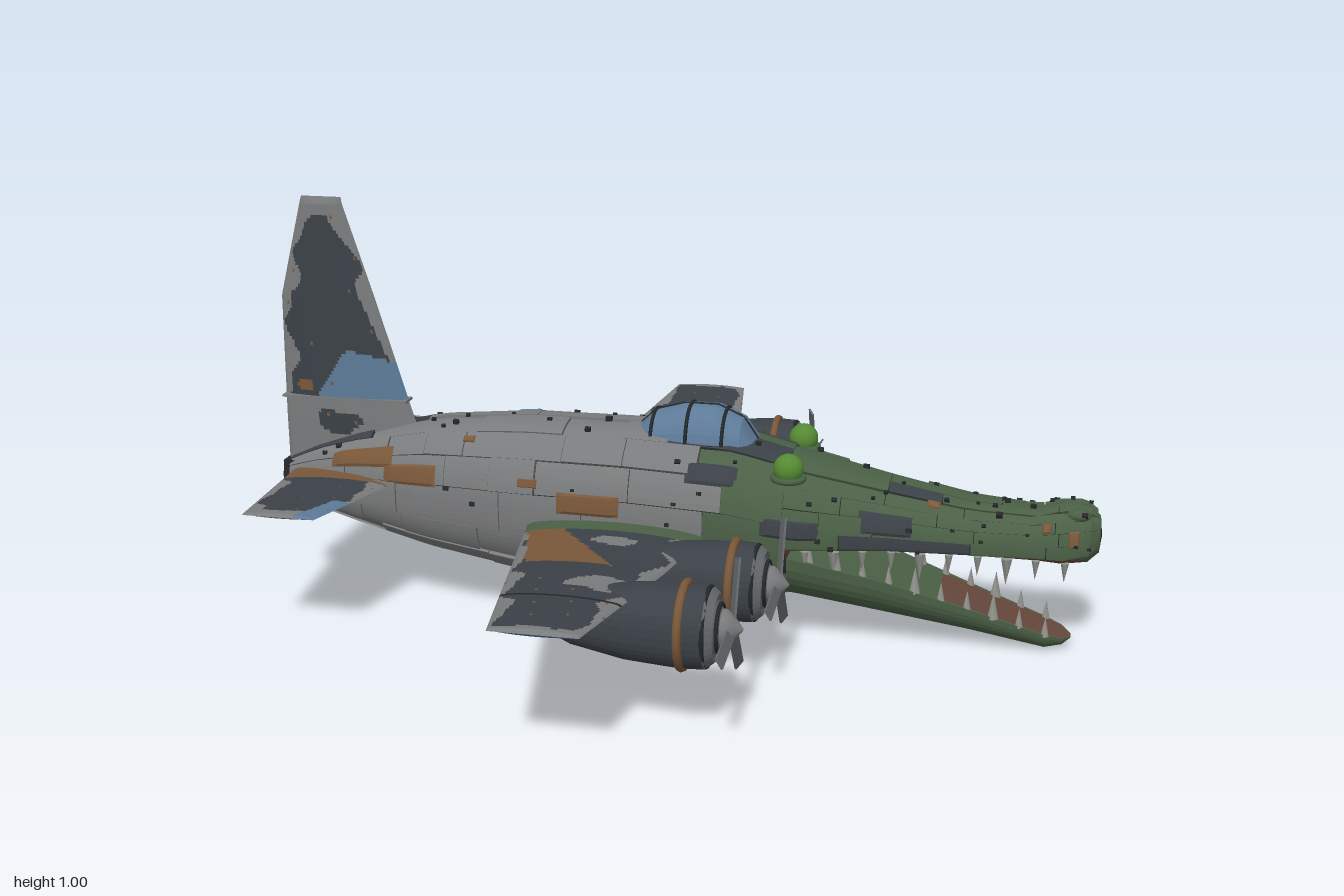
import * as THREE from 'three';
import { mergeGeometries } from 'three/addons/utils/BufferGeometryUtils.js';

const palette = { grey: 0x7a7b7c, slate: 0x3b4147, rust: 0x7a583a, green: 0x4b6046, brightGreen: 0x558a33,
  blue: 0x5d7a98, seam: 0x25282a, mouth: 0x67473c, tooth: 0x94948e, steel: 0x66696c };
const names = Object.keys(palette);
const mats = names.map((name) => {
  const m = new THREE.MeshStandardMaterial({ color: palette[name], side: THREE.DoubleSide });
  m.name = name;
  return m;
});
const mat = (n) => mats[names.indexOf(n)];

let seed = 7;
const rnd = () => (seed = (seed * 16807) % 2147483647) / 2147483647;
const V = (x, y, z) => new THREE.Vector3(x, y, z);
const add = (parent, name, geo, colour) => {
  const m = new THREE.Mesh(geo, mat(colour));
  m.name = name;
  parent.add(m);
  return m;
};

// Grid surface with flat facets; colour(u, v) picks a material per cell.
function gridGeo(point, nu, nv, flip, colour) {
  const cells = names.map(() => []);
  for (let i = 0; i < nu; i++) for (let j = 0; j < nv; j++) {
    const q = [[i, j], [i + 1, j], [i + 1, j + 1], [i, j + 1]].map(([a, b]) => point(a / nu, b / nv));
    const order = flip ? [0, 2, 1, 0, 3, 2] : [0, 1, 2, 0, 2, 3];
    const list = cells[colour ? names.indexOf(colour((i + 0.5) / nu, (j + 0.5) / nv)) : 0];
    for (const k of order) list.push(q[k].x, q[k].y, q[k].z);
  }
  const g = new THREE.BufferGeometry();
  g.setAttribute('position', new THREE.Float32BufferAttribute(cells.flat(), 3));
  let start = 0;
  if (colour) cells.forEach((c, k) => {
    if (c.length) g.addGroup(start, c.length / 3, k);
    start += c.length / 3;
  });
  g.computeVertexNormals();
  return g;
}

// Hull stations: x, centre y, height above, height below, half width
const body = [[-1, .29, .03, .04, .025], [-.9, .29, .08, .07, .055], [-.8, .29, .115, .095, .085], [-.6, .29, .165, .14, .135],
  [-.35, .29, .185, .18, .172], [-.1, .29, .185, .185, .18], [.15, .28, .185, .175, .183], [.29, .26, .17, .155, .175], [.295, .26, 0, 0, 0]];
const snout = [[.2, .27, .17, .08, .18], [.3, .26, .165, .03, .175], [.5, .26, .12, .025, .135], [.7, .255, .085, .025, .105],
  [.85, .25, .08, .03, .078], [.91, .25, .1, .035, .077], [.965, .265, .08, .045, .065], [.99, .28, .045, .04, .035], [.995, .28, 0, 0, 0]];
const chin = [[.24, .235, 0, .13, .172], [.3, .225, 0, .125, .165], [.5, .17, 0, .105, .12], [.7, .105, 0, .072, .085],
  [.88, .045, 0, .045, .06], [.92, .033, 0, .024, .042], [.94, .027, 0, .004, .01]];
const glass = [[-.1, .42, 0, .02, 0], [-.095, .42, .055, .02, .06], [-.05, .42, .097, .02, .082], [.02, .42, .117, .02, .088],
  [.1, .42, .117, .02, .088], [.16, .42, .09, .02, .08], [.2, .42, .03, .02, .062], [.203, .42, 0, .02, 0]];
const pod = [[-.44, .001], [-.42, .025], [-.34, .058], [-.22, .08], [-.1, .088], [-.05, .086], [-.03, .07], [-.035, .05]]
  .map(([x, r]) => [x, 0, r, r, r]);

function section(st, x) {
  let i = 0;
  while (i < st.length - 2 && x > st[i + 1][0]) i++;
  const t = THREE.MathUtils.clamp((x - st[i][0]) / (st[i + 1][0] - st[i][0]), 0, 1);
  return st[i].map((v, k) => v + (st[i + 1][k] - v) * t);
}
function ringPoint([x, yc, up, down, w], a, off = 0) {
  const s = Math.sin(a), c = Math.cos(a);
  const pw = (v) => Math.sign(v) * Math.abs(v) ** 0.87;
  return V(x, yc + (s > 0 ? up : down) * pw(s) + off * s, w * pw(c) + off * c);
}
const hullPoint = (st, x, a, off) => ringPoint(section(st, x), a, off);
function hull(parent, name, st, colour, k = 3) {
  const n = st.length - 1;
  const ring = (u) => {
    const i = Math.min(n - 1, Math.floor(u * n + 1e-6));
    return st[i].map((v, j) => v + (st[i + 1][j] - v) * (u * n - i));
  };
  const g = gridGeo((u, v) => ringPoint(ring(u), v * 2 * Math.PI), n * k, 36, false, (u, v) => colour(ring(u)[0], v * 2 * Math.PI));
  add(parent, name, g, 'seam').material = mats;
}
// Raised plates laid in strips along a hull, gaps left as seams
function plating(parent, name, st, x0, x1, a0, a1, strips, colour) {
  const lists = {}, da = (a1 - a0) / strips, n = 8;
  for (let s = 0; s < strips; s++) for (let x = x0; x < x1 - 0.01;) {
    let e = Math.min(x1, x + 0.1 + rnd() * 0.2);
    if (x1 - e < 0.06) e = x1;
    const xs = x, h = 0.003 + rnd() * 0.009, aa = a0 + s * da;
    const geo = gridGeo((u, v) => {
      const f = (t) => THREE.MathUtils.clamp((t * n - 1) / (n - 2), 0, 1);
      const rim = u < .01 || u > .99 || v < .01 || v > .99;
      return hullPoint(st, xs + .001 + (e - xs - .002) * f(u), aa + .006 + (da - .012) * f(v), rim ? -.002 : h);
    }, n, n, false);
    (lists[colour((x + e) / 2, aa + da / 2)] ??= []).push(geo);
    x = e;
  }
  for (const c in lists) add(parent, `${name} ${c}`, mergeGeometries(lists[c]), c);
}
// Thin skin patch: x range, angle range
function patch(parent, st, [x0, x1, a0, a1, colour]) {
  const g = gridGeo((u, v) => {
    const rim = u < .01 || u > .99 || v < .01 || v > .99;
    return hullPoint(st, x0 + (x1 - x0) * u, a0 + (a1 - a0) * v, rim ? .0095 : .0135);
  }, 8, 8, false);
  add(parent, 'skinPatch', g, colour);
}

// Lens-section aerofoil; sections: span, trailing x, leading x, offset, half thickness
function foil(parent, name, secs, place, flip, colour) {
  const s0 = secs[0][0], s1 = secs[secs.length - 1][0];
  const at = (u, v) => {
    const s = s0 + (s1 - s0) * u, q = section(secs, s);
    return { s, x: q[1] + (q[2] - q[1]) * v, y: q[3], t: q[4] * Math.sin(Math.PI * v) ** 0.5, d: Math.min(v, 1 - v) * (q[2] - q[1]) };
  };
  for (const k of [1, -1]) {
    const g = gridGeo((u, v) => { const p = at(u, v); return place(p.x, p.s, p.y, p.t * k); }, 84, 44, flip !== (k < 0), (u, v) => {
      const p = at(u, v), wob = .014 * Math.sin(p.s * 33 + p.x * 9) + .007 * Math.sin(p.x * 47 + p.s * 61);
      if (Math.sin(p.x * 53 + p.s * 29) * Math.sin(p.s * 47 - p.x * 31) > .987) return 'rust';
      return colour(p.x, p.s, k, Math.min(p.d, s1 - p.s) + wob);
    });
    add(parent, name + (k > 0 ? ' face A' : ' face B'), g, 'slate').material = mats;
  }
}
const blob = (x, s, cx, cs, rx, rs) => ((x - cx) / rx) ** 2 + ((s - cs) / rs) ** 2 < 1 + .3 * Math.sin(x * 70 + s * 55);

// Nacelle, cowl rings, spinner and three blades
function engine(x, y, z, turn) {
  const g = new THREE.Group();
  g.name = 'engine';
  const lathe = (pts) => new THREE.LatheGeometry(pts.map(([px, r]) => new THREE.Vector2(r, px)), 24).rotateZ(-Math.PI / 2);
  hull(g, 'nacelle', pod, (px, a) => (px > -.052 ? 'steel'
    : blob(px, a, -.2, 5.2, .012, .2) || blob(px, a, -.07, 2.4, .012, .2) ? 'rust' : 'slate'), 6);
  add(g, 'engineFace', lathe([[-.05, .075], [-.035, .06], [-.02, .04], [-.015, .001]]), 'steel');
  add(g, 'cowlRing', new THREE.TorusGeometry(.089, .01, 8, 28).rotateY(Math.PI / 2).translate(-.1, 0, 0), 'rust');
  add(g, 'cowlLip', new THREE.TorusGeometry(.083, .006, 6, 24).rotateY(Math.PI / 2).translate(-.05, 0, 0), 'seam');
  add(g, 'faceRing', new THREE.TorusGeometry(.05, .005, 6, 24).rotateY(Math.PI / 2).translate(-.026, 0, 0), 'seam');
  add(g, 'spinner', lathe([[-.03, .042], [-.012, .04], [.005, .025], [.024, .001]]), 'grey');
  for (let i = 0; i < 3; i++) {
    const blade = new THREE.BoxGeometry(.005, .125, .026).translate(0, .085, 0).rotateY(.5);
    add(g, 'propellerBlade', blade.rotateX(turn + i * 2 * Math.PI / 3), 'steel');
  }
  g.position.set(x, y, z);
  return g;
}

export function createModel() {
  const root = new THREE.Group();
  root.name = 'reptileAircraft';

  // Fuselage, upper jaw and lower jaw
  hull(root, 'fuselageCore', body, (x) => (x > .288 ? 'mouth' : 'seam'));
  hull(root, 'upperJawCore', snout, (x, a) => (x < .95 && a > 3.5 && a < 5.95 ? 'mouth' : x > .93 && x < .992 ? 'green' : 'seam'));
  hull(root, 'lowerJaw', chin, (x, a) => (a < Math.PI && a > .5 && a < 2.64 && x > .6 ? 'mouth' : 'green'));
  plating(root, 'fuselagePlate', body, -.98, .28, -Math.PI / 2, Math.PI * 1.5, 14, (x, a) => {
    const s = Math.sin(a), r = rnd();
    if (x > .1) return s > .2 && r < .25 ? 'slate' : s < -.7 && r < .4 ? 'grey' : 'green';
    if (x > 0) return s > .3 ? (r < .5 ? 'slate' : 'grey') : r < .3 ? 'green' : 'grey';
    return r < .05 ? 'slate' : 'grey';
  });
  plating(root, 'snoutPlate', snout, .22, .985, -.15, Math.PI + .15, 11, (x) => (rnd() < .1 && x < .65 ? 'slate' : 'green'));

  // Replacement skin patches
  for (const p of [[-.37, -.2, 2.35, 2.8, 'rust'], [-.26, -.07, 2.85, 3.15, 'rust'], [-.9, -.63, 1.95, 2.5, 'rust'],
    [-.85, -.68, .45, .85, 'rust'], [-.7, -.56, .2, .5, 'rust'], [-.25, -.1, .05, .28, 'rust'], [-.12, .06, 4.0, 4.35, 'rust'],
    [-.41, -.35, 1.8, 2, 'blue'], [-.52, -.44, 2.8, 3.1, 'slate'], [.05, .17, .55, .85, 'slate'],
    [-.78, -.66, 2.55, 2.95, 'slate'], [-.35, -.3, .3, .42, 'rust'], [-.5, -.47, .9, 1.02, 'rust']]) patch(root, body, p);
  for (const p of [[.45, .57, .2, .6, 'slate'], [.92, .945, .1, .5, 'rust'], [.86, .88, .5, .8, 'rust'], [.23, .36, .08, .32, 'slate'],
    [.74, .77, 2.3, 2.6, 'rust'], [.48, .58, 2.5, 2.8, 'slate'], [.6, .63, .9, 1.1, 'rust']]) patch(root, snout, p);

  // Rivets and small fittings scattered over the skin
  const rivets = [];
  for (let i = 0; i < 100; i++) {
    const head = i % 2, st = head ? snout : body;
    const x = head ? .25 + rnd() * .72 : -.98 + rnd() * 1.2, a = -.1 + rnd() * (Math.PI + .2);
    const p = hullPoint(st, x, a, .011), r = .004 + rnd() * .004;
    rivets.push(new THREE.BoxGeometry(r * 2, r * 1.5, r * 1.5).rotateX(-a).translate(p.x, p.y, p.z));
  }
  add(root, 'rivets', mergeGeometries(rivets), 'seam');

  // Teeth along both jaws
  const teeth = [];
  for (const side of [1, -1]) for (let i = 0; i < 10; i++) {
    const big = i % 3 === 1 ? 1.3 : .95;
    for (const [st, x, dir] of [[snout, .33 + i * .065, -1], [chin, .34 + i * .06, 1]]) {
      const [, yc, , down, w] = section(st, x), h = .05 * big;
      const c = new THREE.ConeGeometry(.011 * big, h, 6);
      if (dir < 0) c.rotateX(Math.PI);
      teeth.push(c.translate(x, dir < 0 ? yc - down * .6 - h / 2 : yc + h / 2 - .004, side * w * .88));
    }
  }
  add(root, 'teeth', mergeGeometries(teeth), 'tooth');

  // Eyes, sockets and nostrils
  for (const side of [1, -1]) {
    add(root, 'eye', new THREE.SphereGeometry(.035, 24, 16).translate(.285, .43, side * .122), 'brightGreen');
    add(root, 'eyeSocket', new THREE.TorusGeometry(.034, .008, 8, 20).rotateX(Math.PI / 2).translate(.285, .408, side * .122), 'green');
    add(root, 'nostril', new THREE.SphereGeometry(.022, 12, 8).scale(1.3, .7, 1).translate(.94, .336, side * .035), 'green');
  }

  // Canopy with hoops, spine and sill bars following the glass
  hull(root, 'canopy', glass, () => 'blue', 4);
  const bar = (name, at, r) => {
    const pts = Array.from({ length: 21 }, (_, i) => at(i / 20));
    add(root, name, new THREE.TubeGeometry(new THREE.CatmullRomCurve3(pts), 40, r, 6), 'seam');
  };
  for (const x of [-.05, .035, .12]) bar('canopyHoop', (t) => hullPoint(glass, x, t * Math.PI), .0045);
  bar('canopySpine', (t) => hullPoint(glass, -.095 + t * .295, Math.PI / 2), .003);
  for (const a of [.25, Math.PI - .25]) bar('canopySill', (t) => hullPoint(glass, -.095 + t * .295, a), .006);

  // Wings, engines and tailplanes, mirrored
  for (const side of [1, -1]) {
    const place = (x, s, y, t) => V(x, y + t, side * s);
    const tag = side > 0 ? 'left' : 'right';
    foil(root, `${tag}Wing`, [[.1, -.335, .115, .265, .026], [.45, -.275, .065, .28, .02], [.9, -.19, .002, .32, .008], [.91, -.188, 0, .32, 0]],
      place, side < 0, (x, s, k, d) => {
        if (k < 0 && s > .68) return side > 0 ? 'blue' : 'rust';
        if (k < 0 && s > .4 && s < .54 && x > -.06) return 'rust';
        if (k < 0) return blob(x, s, -.15, .45, .06, .05) ? 'rust' : d < .015 ? 'grey' : 'slate';
        if (side > 0) {
          if (s < .24) return 'green';
          if (s < .47 && x < -.22 + (s - .24) * .75 && x > -.3 + (s - .24) * .25) return 'rust';
          if (Math.abs(s - .69) < .005) return 'seam';
          if (blob(x, s, -.02, .59, .1, .045) || blob(x, s, -.08, .31, .045, .03) || blob(x, s, .06, .27, .03, .03)) return 'grey';
        } else {
          if (s < .25) return x < -.2 ? 'rust' : s < .21 ? 'grey' : 'slate';
          if (blob(x, s, -.01, .38, .04, .045) || blob(x, s, .06, .46, .015, .01)) return 'rust';
          if (blob(x, s, -.02, .6, .05, .025) || blob(x, s, .02, .45, .06, .02)) return 'grey';
        }
        return d < .024 ? 'grey' : 'slate';
      });
    foil(root, `${tag}Tailplane`, [[.02, -.965, -.67, .315, .016], [.18, -.952, -.7, .32, .013], [.405, -.93, -.752, .33, .006], [.415, -.928, -.755, .33, 0]],
      place, side < 0, (x, s, k, d) => {
        if (k < 0) return side > 0 ? 'grey' : 'green';
        if (side > 0 && s < .13) return 'rust';
        if (side > 0 && s > .28 && x > -.76 - (s - .28) * .35) return 'blue';
        if (side < 0 && s < .19) return blob(x, s, -.92, .12, .03, .03) ? 'blue' : 'grey';
        return d < .024 ? 'grey' : 'slate';
      });
    root.add(engine(.295, .22, side * .305, -.42 * side));
    root.add(engine(.245, .235, side * .605, -.42 * side));
  }

  // Tail fin
  foil(root, 'tailFin', [[.25, -.99, -.58, 0, .022], [.45, -.99, -.655, 0, .022], [.75, -.985, -.745, 0, .016], [.98, -.925, -.818, 0, .007], [.995, -.92, -.82, 0, 0]],
    (x, s, y, t) => V(x, s, t), true, (x, s, k, d) => {
      if (k < 0) return s > .74 ? 'rust' : s > .5 ? 'blue' : d < .04 ? 'grey' : 'slate';
      if (s < .5) return blob(x, s, -.85, .44, .06, .03) ? 'slate' : 'grey';
      if (s < .625 - (x + .82) * .25 && x > -.9 + (s - .5) * .65) return 'blue';
      if (blob(x, s, -.93, .53, .02, .015) || blob(x, s, -.8, .52, .012, .012)) return 'rust';
      return d < .026 ? 'grey' : 'slate';
    });
  add(root, 'finBaseStrap', new THREE.BoxGeometry(.32, .006, .046).translate(-.83, .5, 0), 'grey');
  add(root, 'tailBlock', new THREE.BoxGeometry(.05, .09, .06).translate(-.97, .29, 0), 'seam');
  return root;
}
